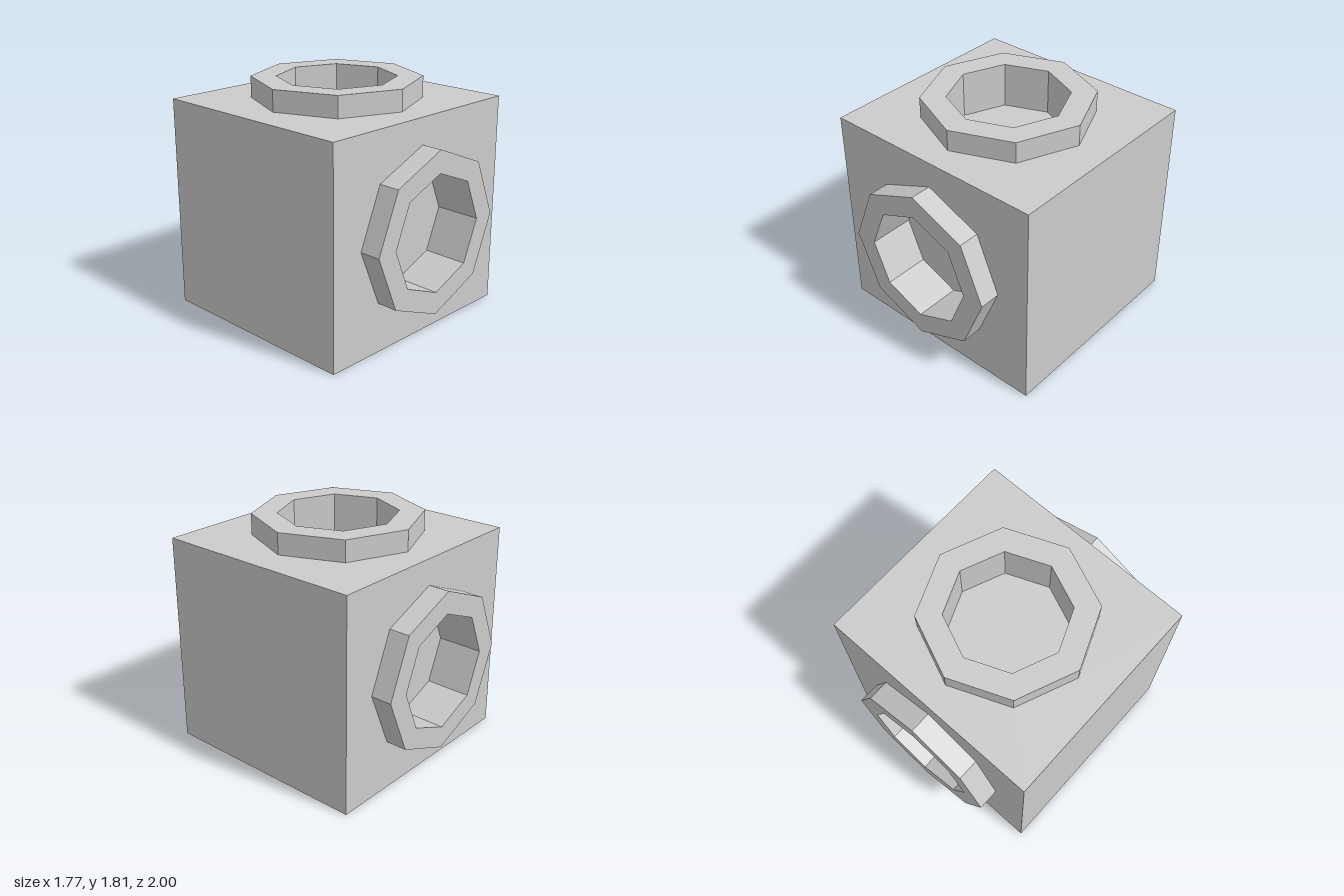
import * as THREE from 'three';

const W = 1.77, H = 1.645, D = 1.67; // block size
const COLLAR = 0.163, RECESS = 0.19, INNER = 0.45;

export function createModel() {
  const model = new THREE.Group();
  const material = new THREE.MeshStandardMaterial({ color: 0xcccccc, flatShading: true });

  // One wall of the block, facing +z, with an optional octagonal socket at its centre
  function wall(name, w, h, socketRadius) {
    const group = new THREE.Group();
    group.name = name;
    const shape = new THREE.Shape([
      new THREE.Vector2(-w / 2, -h / 2), new THREE.Vector2(w / 2, -h / 2),
      new THREE.Vector2(w / 2, h / 2), new THREE.Vector2(-w / 2, h / 2),
    ]);
    if (socketRadius) {
      const corners = [];
      for (let i = 0; i < 8; i++) {
        const a = -i * Math.PI / 4;
        corners.push(new THREE.Vector2(Math.cos(a), Math.sin(a)).multiplyScalar(socketRadius));
      }
      shape.holes.push(new THREE.Path(corners));

      // Raised collar, bore and flat floor in one eight-sided profile
      const profile = [
        [socketRadius, 0], [socketRadius, COLLAR], [INNER, COLLAR], [INNER, -RECESS], [0, -RECESS],
      ].map(([r, y]) => new THREE.Vector2(r, y));
      const lathe = new THREE.LatheGeometry(profile, 8).toNonIndexed();
      lathe.computeVertexNormals();
      lathe.rotateX(Math.PI / 2);
      const socket = new THREE.Mesh(lathe, material);
      socket.name = name + 'Socket';
      group.add(socket);
    }
    const panel = new THREE.Mesh(new THREE.ShapeGeometry(shape), material);
    panel.name = name + 'Panel';
    group.add(panel);
    model.add(group);
    return group;
  }

  // Front and back walls with sockets
  wall('front', W, H, 0.622).position.set(0, H / 2, D / 2);
  const back = wall('back', W, H, 0.622);
  back.position.set(0, H / 2, -D / 2);
  back.rotation.y = Math.PI;

  // Top with socket, plain bottom
  const top = wall('top', W, D, 0.64);
  top.position.y = H;
  top.rotation.x = -Math.PI / 2;
  wall('bottom', W, D).rotation.x = Math.PI / 2;

  // Plain side walls
  for (const side of [1, -1]) {
    const plain = wall(side > 0 ? 'leftSide' : 'rightSide', D, H);
    plain.position.set(side * W / 2, H / 2, 0);
    plain.rotation.y = side * Math.PI / 2;
  }
  return model;
}
